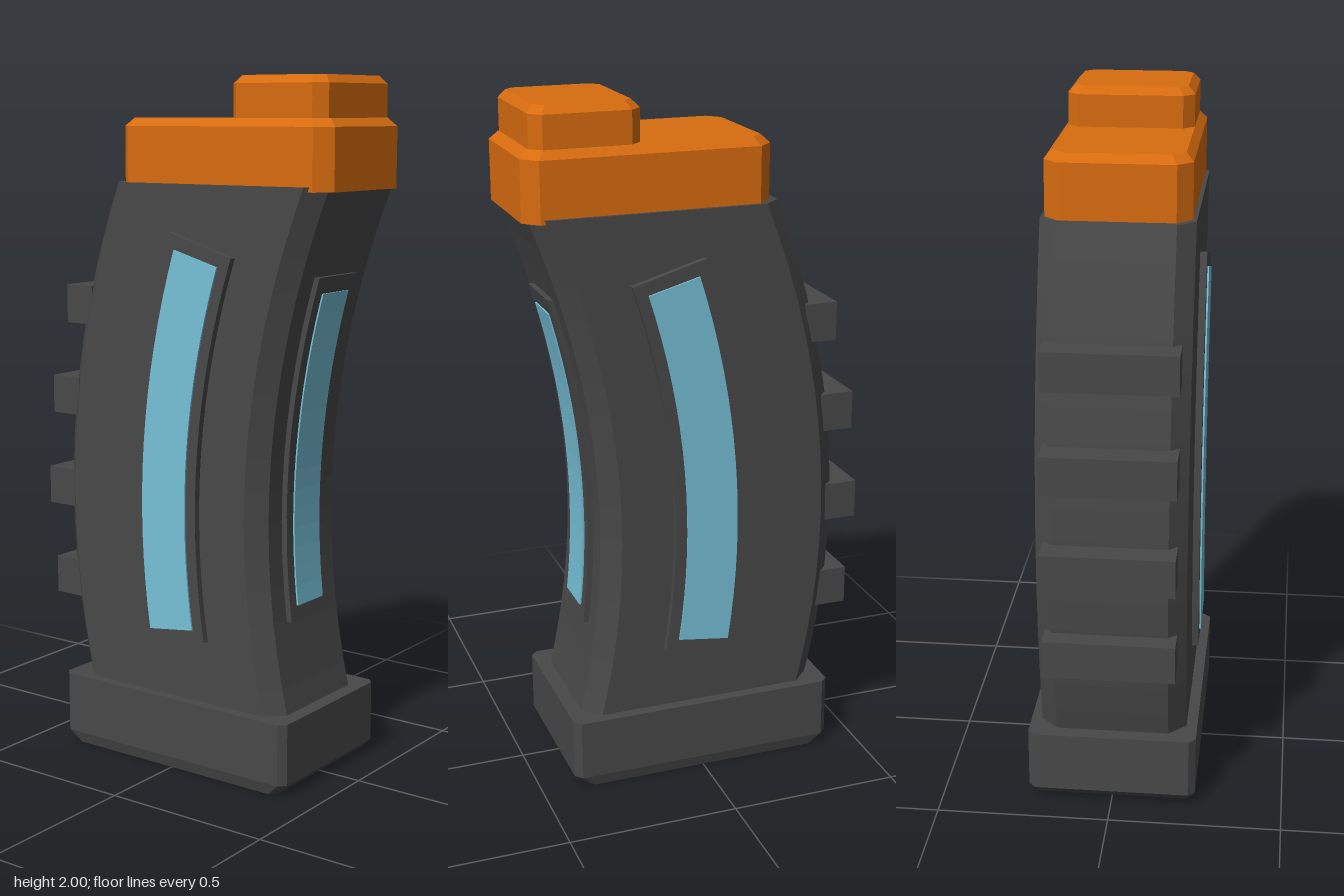
import * as THREE from 'three';

const grey = new THREE.MeshStandardMaterial({ color: 0x484848 });
grey.name = 'dark grey shell';
const orange = new THREE.MeshStandardMaterial({ color: 0xd86c0f });
orange.name = 'orange cap';
const blue = new THREE.MeshStandardMaterial({ color: 0x76c0d8 });
blue.name = 'light blue window';

// Centre line of the curved body and its sideways lean at height y
const centre = (y) => 0.217 * (y - 0.77) ** 2 - 0.068;
const lean = (y) => 0.38 * (y - 0.77);

// Joins equal rings (counter-clockwise from above, bottom to top) into a closed faceted solid
function loft(name, rings, material) {
  const pos = [];
  const tri = (a, b, c) => pos.push(...a, ...b, ...c);
  const n = rings[0].length;
  for (let r = 0; r < rings.length - 1; r++) {
    for (let i = 0; i < n; i++) {
      const j = (i + 1) % n;
      tri(rings[r][i], rings[r][j], rings[r + 1][j]);
      tri(rings[r][i], rings[r + 1][j], rings[r + 1][i]);
    }
  }
  const top = rings[rings.length - 1];
  for (let i = 1; i < n - 1; i++) {
    tri(rings[0][0], rings[0][i + 1], rings[0][i]);
    tri(top[0], top[i], top[i + 1]);
  }
  const geometry = new THREE.BufferGeometry();
  geometry.setAttribute('position', new THREE.Float32BufferAttribute(pos, 3));
  geometry.computeVertexNormals();
  const mesh = new THREE.Mesh(geometry, material);
  mesh.name = name;
  return mesh;
}

// Horizontal rectangle with cut corners
function octagon(y, x0, x1, hz, c) {
  return [
    [x1, y, hz - c], [x1, y, c - hz], [x1 - c, y, -hz], [x0 + c, y, -hz],
    [x0, y, c - hz], [x0, y, hz - c], [x0 + c, y, hz], [x1 - c, y, hz],
  ];
}

// Evenly spaced rings between two heights
const rings = (y0, y1, count, make) =>
  Array.from({ length: count + 1 }, (_, i) => make(y0 + ((y1 - y0) * i) / count));

// Curved strip lying on a broad face, with ends square to the curve
function broadStrip(name, y0, y1, half, z0, z1, material) {
  return loft(name, rings(y0, y1, 16, (y) => {
    const a = Math.atan(lean(y));
    const at = (u, z) => [centre(y) + 0.043 + u * Math.cos(a), y - u * Math.sin(a), z];
    return [at(half, z1), at(half, z0), at(-half, z0), at(-half, z1)];
  }), material);
}

// Curved strip lying on the narrow inner face
function narrowStrip(name, y0, y1, half, d0, d1, material) {
  return loft(name, rings(y0, y1, 16, (y) => {
    const x0 = centre(y) + d0, x1 = centre(y) + d1;
    return [[x1, y, half], [x1, y, -half], [x0, y, -half], [x0, y, half]];
  }), material);
}

export function createModel() {
  const model = new THREE.Group();
  model.name = 'curvedMagazine';

  // Curved body with chamfered corners
  model.add(loft('body', rings(0.19, 1.705, 16, (y) =>
    octagon(y, centre(y) - 0.36, centre(y) + 0.36, 0.214, 0.05)), grey));

  // Base plate, bevelled underneath
  model.add(loft('basePlate', [
    octagon(0, -0.368, 0.365, 0.236, 0.02),
    octagon(0.035, -0.405, 0.402, 0.246, 0.02),
    octagon(0.215, -0.405, 0.402, 0.246, 0.02),
  ], grey));

  // Top cap and the raised block on it
  model.add(loft('topCap', [
    octagon(1.692, -0.215, 0.495, 0.203, 0.042),
    octagon(1.863, -0.215, 0.495, 0.203, 0.042),
    octagon(1.886, -0.192, 0.472, 0.182, 0.036),
  ], orange));
  model.add(loft('raisedBlock', [
    octagon(1.87, 0.158, 0.468, 0.182, 0.032),
    octagon(1.978, 0.158, 0.468, 0.182, 0.032),
    octagon(2, 0.178, 0.45, 0.162, 0.026),
  ], orange));

  // Framed windows on both broad faces
  for (const [side, s] of [['front', 1], ['back', -1]]) {
    const span = (a, b) => [Math.min(a * s, b * s), Math.max(a * s, b * s)];
    model.add(broadStrip(side + 'WindowFrame', 0.385, 1.54, 0.111, ...span(0.2, 0.234), grey));
    model.add(broadStrip(side + 'Window', 0.423, 1.503, 0.077, ...span(0.232, 0.239), blue));
  }

  // Framed window on the narrow inner face
  model.add(narrowStrip('sideWindowFrame', 0.467, 1.457, 0.098, 0.34, 0.377, grey));
  model.add(narrowStrip('sideWindow', 0.51, 1.41, 0.065, 0.375, 0.382, blue));

  // Grip ribs on the outer curve: height, outer x, inner x
  const ribs = [[0.503, -0.476, -0.38], [0.782, -0.5, -0.4], [1.065, -0.48, -0.38], [1.342, -0.42, -0.325]];
  for (const [y, x0, x1] of ribs) {
    const rib = new THREE.Mesh(new THREE.BoxGeometry(x1 - x0, 0.113, 0.378), grey);
    rib.position.set((x0 + x1) / 2, y, 0);
    rib.name = 'gripRib';
    model.add(rib);
  }
  return model;
}
